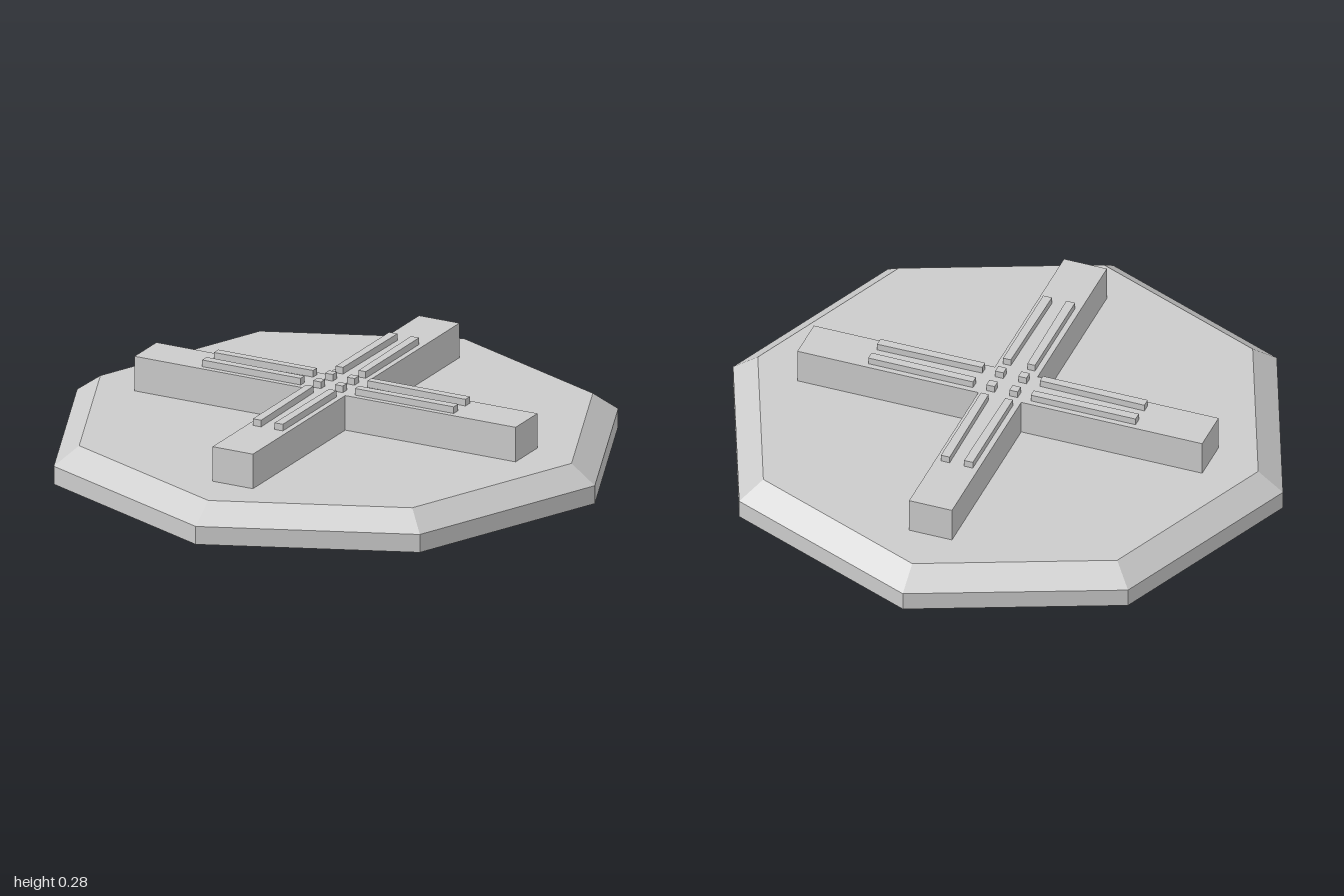
import * as THREE from 'three';

const mat = new THREE.MeshStandardMaterial({ color: 0xcccccc, flatShading: true });

export function createModel() {
  const group = new THREE.Group();
  const add = (parent, name, geometry, x = 0, y = 0, z = 0) => {
    const mesh = new THREE.Mesh(geometry, mat);
    mesh.name = name;
    mesh.position.set(x, y, z);
    parent.add(mesh);
    return mesh;
  };

  // Octagonal base: straight rim, then a chamfer, corners on the axes
  const rim = 0.065, baseTop = 0.13;
  add(group, 'baseRim', new THREE.CylinderGeometry(1, 1, rim, 8, 1, true), 0, rim / 2);
  add(group, 'baseChamfer', new THREE.CylinderGeometry(0.91, 1, baseTop - rim, 8, 1, true), 0, (rim + baseTop) / 2);
  add(group, 'baseTop', new THREE.CircleGeometry(0.91, 8).rotateX(-Math.PI / 2), 0, baseTop);
  add(group, 'baseBottom', new THREE.CircleGeometry(1, 8).rotateX(Math.PI / 2));

  // Raised cross as a single twelve-sided outline
  const L = 0.736, w = 0.078, crossTop = 0.255;
  const outline = [];
  for (let i = 0; i < 4; i++) {
    for (const [x, y] of [[L, -w], [L, w], [w, w]]) {
      outline.push(new THREE.Vector2(x, y).rotateAround(new THREE.Vector2(), i * Math.PI / 2));
    }
  }
  const crossGeometry = new THREE.ExtrudeGeometry(new THREE.Shape(outline), {
    depth: crossTop - baseTop, bevelEnabled: false,
  });
  add(group, 'cross', crossGeometry.rotateX(-Math.PI / 2), 0, baseTop);

  // Two thin ribs on each arm, a little narrower near the centre, and four studs
  const ribHeight = 0.024, y = crossTop + ribHeight / 2;
  const ribStart = 0.105, ribEnd = 0.486, inner = 0.026, outer = 0.058;
  const ribGeometry = (side) => {
    const g = new THREE.BoxGeometry(ribEnd - ribStart, ribHeight, outer - inner);
    const p = g.attributes.position;
    for (let i = 0; i < p.count; i++) {
      if (p.getX(i) < 0 && p.getZ(i) * side < 0) p.setZ(i, p.getZ(i) + side * 0.004);
    }
    g.computeVertexNormals();
    return g;
  };
  const mid = (inner + outer) / 2;
  for (let i = 0; i < 4; i++) {
    const arm = new THREE.Group();
    arm.name = 'armDetails';
    arm.rotation.y = i * Math.PI / 2;
    for (const side of [-1, 1]) {
      add(arm, 'rib', ribGeometry(side), (ribStart + ribEnd) / 2, y, side * mid);
    }
    add(arm, 'stud', new THREE.BoxGeometry(0.03, ribHeight, 0.03), mid, y, mid);
    group.add(arm);
  }
  return group;
}
